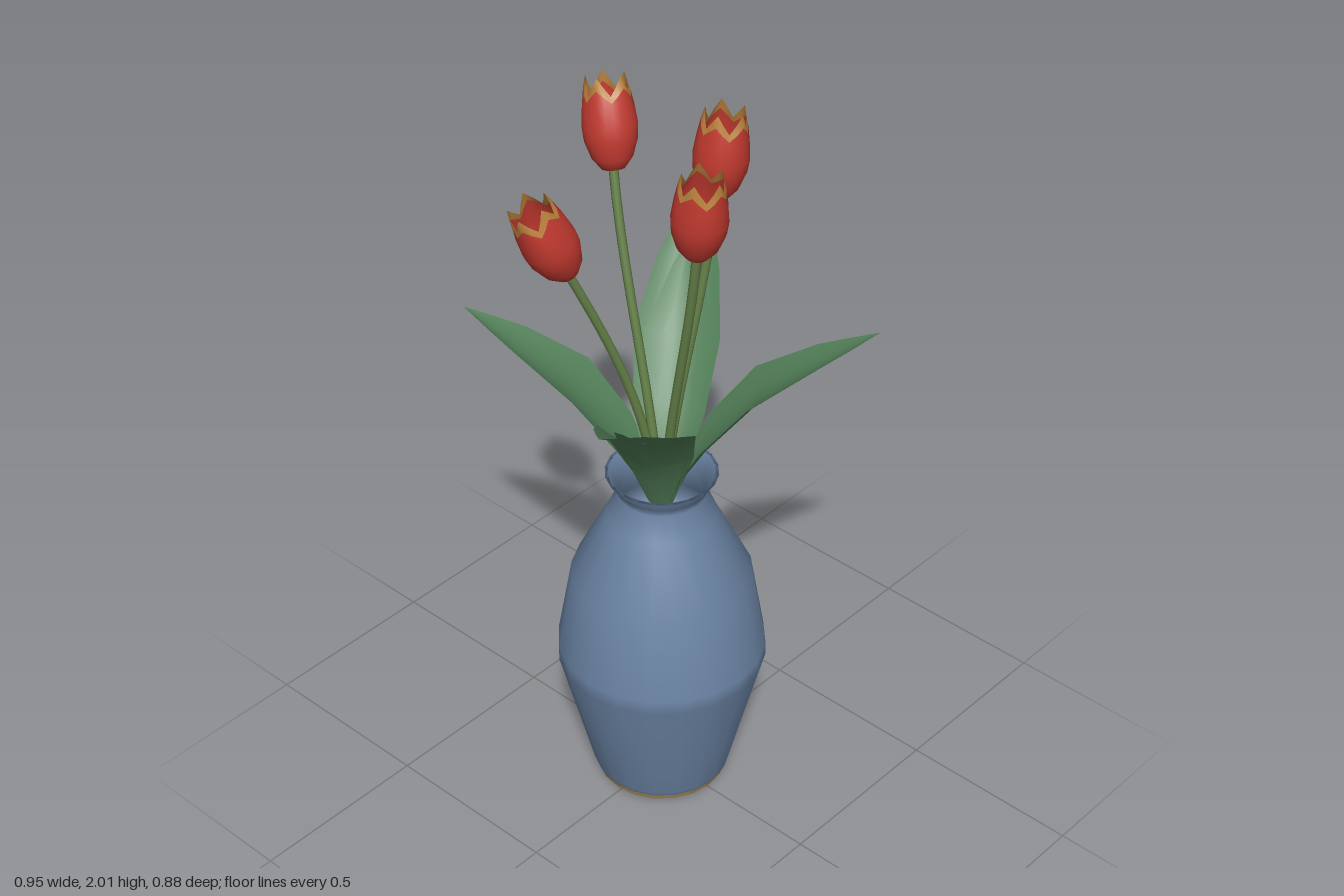
import * as THREE from 'three';
import { mergeVertices } from 'three/addons/utils/BufferGeometryUtils.js';

const mat = (name, color, side = THREE.FrontSide) => {
  const m = new THREE.MeshStandardMaterial({ color, side });
  m.name = name;
  return m;
};
const V = (x, y, z) => new THREE.Vector3(x, y, z);

// Root of the bouquet, on the axis of the vase
const CX = 0.008, CZ = -0.01;

// Smooth lathe without a shading seam; warp(v, angle) may move each vertex
function lathe(profile, segments, warp) {
  let g = new THREE.LatheGeometry(profile.map(([r, y]) => new THREE.Vector2(r, y)), segments);
  g.deleteAttribute('uv');
  g.deleteAttribute('normal');
  g = mergeVertices(g, 1e-5);
  if (warp) {
    const p = g.attributes.position, v = V(0, 0, 0);
    for (let i = 0; i < p.count; i++) {
      v.fromBufferAttribute(p, i);
      warp(v, Math.atan2(v.x, v.z));
      p.setXYZ(i, v.x, v.y, v.z);
    }
  }
  g.computeVertexNormals();
  return g;
}

// Long pointed leaf: arching midrib, cupped across its width
function leafGeometry(length, tipY) {
  // along the leaf: distance out, height, half width
  const rows = [
    [0.03, 0.9, 0.03], [0.07, 1.0, 0.06], [0.13, 1.1, 0.088], [0.25, 1.25, 0.1],
    [0.4, 1.365, 0.062], [0.47, 1.415, 0.034], [0.545, 1.47, 0.001],
  ];
  const cols = 6, pos = [], idx = [];
  rows.forEach(([r, y, w], i) => {
    const a = rows[Math.max(0, i - 1)], b = rows[Math.min(rows.length - 1, i + 1)];
    const slope = Math.atan2(b[1] - a[1], b[0] - a[0]);
    for (let j = 0; j <= cols; j++) {
      const s = (j / cols) * 2 - 1, cup = 0.3 * w * s * s;
      pos.push(
        s * w,
        0.9 + (y - 0.9) * (tipY - 0.9) / 0.57 + cup * Math.cos(slope),
        r * length / 0.545 - cup * Math.sin(slope));
      if (i && j) {
        const k = i * (cols + 1) + j, q = k - cols - 1;
        idx.push(q - 1, k - 1, k, q - 1, k, q);
      }
    }
  });
  const g = new THREE.BufferGeometry();
  g.setAttribute('position', new THREE.Float32BufferAttribute(pos, 3));
  g.setIndex(idx);
  g.computeVertexNormals();
  return g;
}

export function createModel() {
  const model = new THREE.Group();
  model.name = 'tulipsInVase';
  const glaze = mat('blueGlaze', 0x6a83a3, THREE.DoubleSide);
  const clay = mat('bareClay', 0xa98a58);
  const leafGreen = mat('leafGreen', 0x527f58, THREE.DoubleSide);
  const stemGreen = mat('stemGreen', 0x648048);
  const petalRed = mat('petalRed', 0xc0392f, THREE.DoubleSide);
  const petalEdge = mat('petalEdge', 0xb9803c, THREE.DoubleSide);

  const add = (name, geometry, material, parent = model) => {
    const mesh = new THREE.Mesh(geometry, material);
    mesh.name = name;
    parent.add(mesh);
    return mesh;
  };

  // Vase: outer wall, flared rim and the inside of the neck
  const vase = add('vase', lathe([
    [0.18, 0.014], [0.188, 0.03], [0.215, 0.14], [0.28, 0.4], [0.279, 0.44], [0.24, 0.67],
    [0.145, 0.86], [0.116, 0.93], [0.125, 0.955], [0.148, 0.99], [0.138, 0.99],
    [0.108, 0.93], [0.135, 0.85], [0.2, 0.72], [0.0, 0.7],
  ], 20), glaze);
  vase.position.set(CX, 0, CZ);
  const foot = add('vaseFoot', new THREE.CylinderGeometry(0.181, 0.176, 0.016, 20), clay);
  foot.position.set(CX, 0.008, CZ);

  // Leaves: tip positions
  const tips = [
    [-0.254, 1.43, -0.44], [0.45, 1.475, -0.325], [0.473, 1.46, -0.267],
    [0.31, 1.47, 0.435], [-0.414, 1.47, 0.32], [-0.475, 1.475, 0.235],
  ];
  tips.forEach(([x, y, z]) => {
    const dx = x - CX, dz = z - CZ;
    const leaf = add('leaf', leafGeometry(Math.hypot(dx, dz), y), leafGreen);
    leaf.position.set(CX, 0, CZ);
    leaf.rotation.y = Math.atan2(dx, dz);
  });

  // Tulip cup with a toothed mouth; the rim is a separate band
  const TEETH = 5;
  const tooth = (v, a) => {
    const t = Math.max(0, (v.y - 0.14) / 0.075);
    v.y += t * 0.022 * Math.cos(a * TEETH);
  };
  const cup = lathe([
    [0, 0], [0.03, 0.006], [0.052, 0.035], [0.067, 0.08], [0.07, 0.115],
    [0.065, 0.16], [0.058, 0.195],
  ], 20, tooth);
  const rim = lathe([[0.058, 0.195], [0.051, 0.218]], 20, tooth);

  // Flowers: base of the bloom and the direction it faces
  const flowers = [
    { base: V(-0.212, 1.65, -0.112), axis: V(-0.085, 0.2, -0.038) },
    { base: V(-0.034, 1.725, 0.14), axis: V(-0.008, 0.23, 0.025) },
    { base: V(0.075, 1.765, -0.232), axis: V(0.035, 0.22, -0.055) },
    { base: V(0.157, 1.76, 0.033), axis: V(0.022, 0.23, 0.008) },
  ];
  flowers.forEach(({ base, axis }) => {
    axis.normalize();
    const flower = new THREE.Group();
    flower.name = 'tulip';
    model.add(flower);

    // Stem rises from the neck and bends into the bloom
    const path = new THREE.CubicBezierCurve3(
      V(CX, 0.8, CZ),
      V(CX + (base.x - CX) * 0.08, 1.15, CZ + (base.z - CZ) * 0.08),
      base.clone().addScaledVector(axis, -0.3),
      base.clone().addScaledVector(axis, 0.01));
    add('stem', new THREE.TubeGeometry(path, 12, 0.012, 8), stemGreen, flower);

    const bloom = new THREE.Group();
    bloom.name = 'bloom';
    bloom.position.copy(base);
    bloom.quaternion.setFromUnitVectors(V(0, 1, 0), axis);
    flower.add(bloom);
    add('petals', cup, petalRed, bloom);
    add('petalTips', rim, petalEdge, bloom);
  });
  return model;
}
